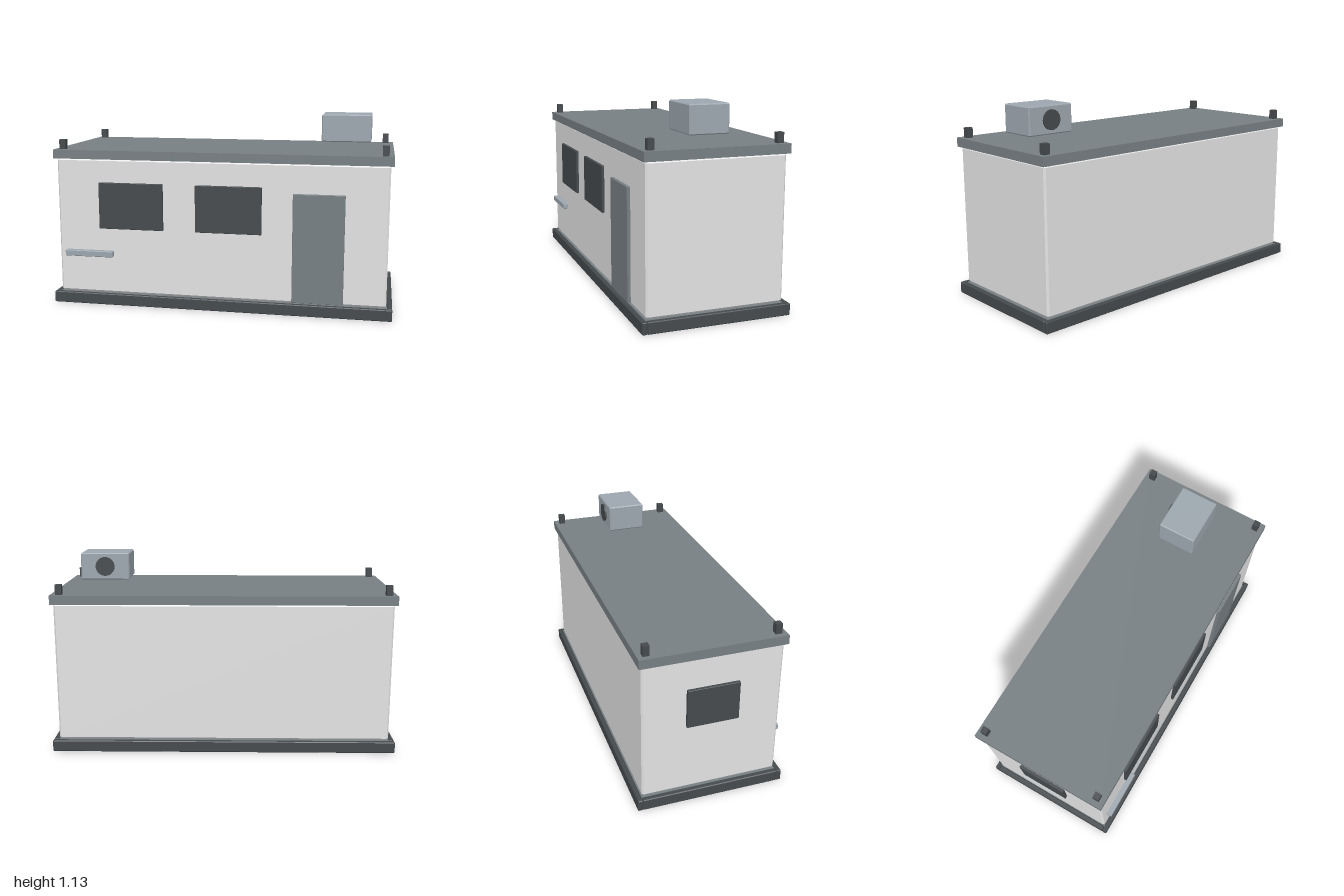
import * as THREE from 'three';
import { ConvexGeometry } from 'three/addons/geometries/ConvexGeometry.js';

const paint = (name, color) => {
  const m = new THREE.MeshStandardMaterial({ color });
  m.name = name;
  return m;
};

// Box with every edge cut at 45 degrees by c
function chamferBox(w, h, d, c) {
  const pts = [];
  for (const x of [-w / 2, w / 2])
    for (const y of [-h / 2, h / 2])
      for (const z of [-d / 2, d / 2]) {
        const ix = x - Math.sign(x) * c, iy = y - Math.sign(y) * c, iz = z - Math.sign(z) * c;
        pts.push(new THREE.Vector3(x, iy, iz), new THREE.Vector3(ix, y, iz), new THREE.Vector3(ix, iy, z));
      }
  return new ConvexGeometry(pts);
}

export function createModel() {
  const wall = paint('light grey wall', 0xe3e3e3);
  const grey = paint('mid grey metal', 0x777f83);
  const dark = paint('dark grey', 0x454a4d);
  const steel = paint('pale steel', 0x9da7af);

  const group = new THREE.Group();
  group.name = 'siteCabin';

  // Box from its min and max corners, with optional chamfered edges
  const box = (name, mat, [x0, y0, z0], [x1, y1, z1], c = 0) => {
    const w = x1 - x0, h = y1 - y0, d = z1 - z0;
    const geo = c ? chamferBox(w, h, d, c) : new THREE.BoxGeometry(w, h, d);
    const mesh = new THREE.Mesh(geo, mat);
    mesh.name = name;
    mesh.position.set((x0 + x1) / 2, (y0 + y1) / 2, (z0 + z1) / 2);
    group.add(mesh);
  };

  // Base frame: long rails and end rails around a recessed floor
  for (const s of [-1, 1]) {
    const z = s * 0.404, x = s * 0.985;
    box('longRail', dark, [-1, 0, z - 0.014], [1, 0.066, z + 0.014], 0.004);
    box('endRail', dark, [x - 0.015, 0, -0.39], [x + 0.015, 0.066, 0.39], 0.004);
  }
  box('floor', grey, [-0.97, 0.058, -0.39], [0.97, 0.064, 0.39]);

  // Cabin body and roof
  box('body', wall, [-0.966, 0.068, -0.386], [0.966, 0.872, 0.386], 0.01);
  box('roof', grey, [-0.983, 0.872, -0.402], [0.983, 0.924, 0.402]);

  // Lifting posts on the roof corners
  for (const x of [-0.936, 0.936])
    for (const z of [-0.355, 0.355])
      box('liftingPost', dark, [x - 0.018, 0.92, z - 0.018], [x + 0.018, 0.981, z + 0.018]);

  // Windows, door and front shelf
  for (const x of [-0.516, 0.063])
    box('frontWindow', dark, [x - 0.193, 0.461, 0.38], [x + 0.193, 0.735, 0.402], 0.002);
  box('sideWindow', dark, [-0.984, 0.47, -0.145], [-0.96, 0.695, 0.145], 0.002);
  box('door', grey, [0.433, 0.074, 0.38], [0.725, 0.703, 0.404], 0.002);
  box('shelf', steel, [-0.922, 0.291, 0.383], [-0.629, 0.326, 0.418], 0.003);

  // Raised air conditioner with a round fan grille on its back
  box('airConditioner', steel, [0.565, 0.971, -0.112], [0.852, 1.13, 0.112], 0.006);
  const fan = new THREE.Mesh(new THREE.CylinderGeometry(0.056, 0.056, 0.02, 24), dark);
  fan.name = 'fanGrille';
  fan.rotation.x = Math.PI / 2;
  fan.position.set(0.708, 1.051, -0.111);
  group.add(fan);

  return group;
}
